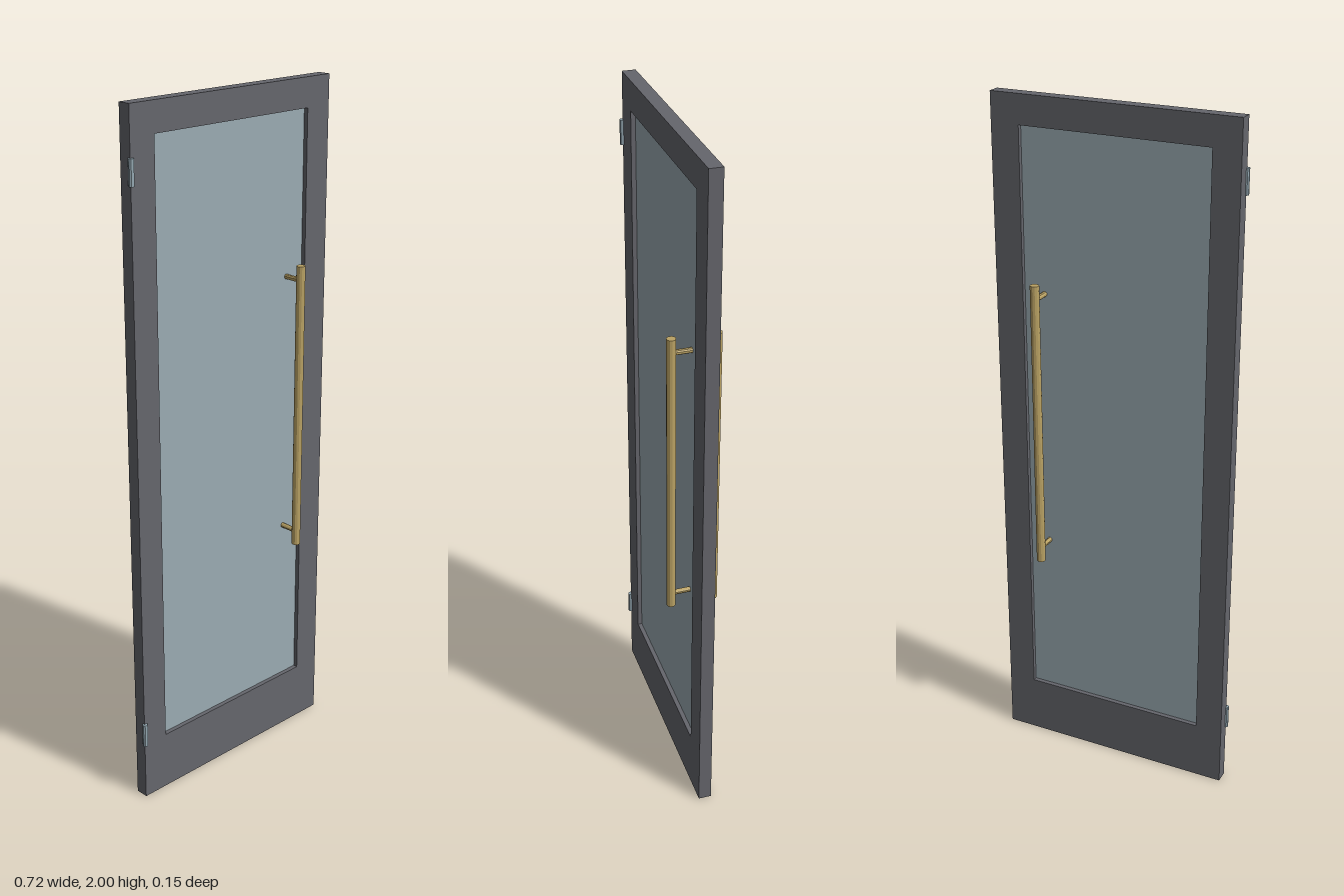
import * as THREE from 'three';

const material = (name, color, flatShading = false) => {
  const m = new THREE.MeshStandardMaterial({ color, flatShading });
  m.name = name;
  return m;
};

export function createModel() {
  const door = new THREE.Group();
  door.name = 'door';
  const frameGrey = material('frame grey', 0x65666c);
  const glassBlue = material('glass blue', 0x9babb2);
  const brass = material('brass', 0xbaa264, true);
  const steel = material('hinge steel', 0x97abb5, true);

  const add = (parent, name, geometry, mat, x, y, z) => {
    const mesh = new THREE.Mesh(geometry, mat);
    mesh.name = name;
    mesh.position.set(x, y, z);
    parent.add(mesh);
    return mesh;
  };

  // Frame: one slab with a rectangular opening, deeper at the bottom rail
  const left = -0.355, right = 0.36, depth = 0.038;
  const open = { x0: -0.275, x1: 0.277, y0: 0.175, y1: 1.917 };
  const outline = new THREE.Shape([
    new THREE.Vector2(left, 0), new THREE.Vector2(right, 0),
    new THREE.Vector2(right, 2), new THREE.Vector2(left, 2),
  ]);
  outline.holes.push(new THREE.Path([
    new THREE.Vector2(open.x0, open.y0), new THREE.Vector2(open.x0, open.y1),
    new THREE.Vector2(open.x1, open.y1), new THREE.Vector2(open.x1, open.y0),
  ]));
  const slab = new THREE.ExtrudeGeometry(outline, { depth, bevelEnabled: false });
  add(door, 'frame', slab, frameGrey, 0, 0, -depth / 2);

  // Glass pane set in the middle of the frame depth
  const pane = new THREE.BoxGeometry(open.x1 - open.x0, open.y1 - open.y0, 0.012);
  add(door, 'glassPane', pane, glassBlue, (open.x0 + open.x1) / 2, (open.y0 + open.y1) / 2, 0);

  // Pull handles on both faces, each with two standoff posts
  const handleX = 0.216, handleZ = 0.062;
  for (const side of [1, -1]) {
    const handle = new THREE.Group();
    handle.name = side > 0 ? 'frontHandle' : 'backHandle';
    add(handle, 'bar', new THREE.CylinderGeometry(0.013, 0.013, 0.853, 12), brass,
      handleX, 1.07, side * handleZ);
    for (const y of [0.685, 1.455]) {
      const post = add(handle, 'post', new THREE.CylinderGeometry(0.0075, 0.0075, handleZ, 10),
        brass, handleX, y, side * handleZ / 2);
      post.rotation.x = Math.PI / 2;
    }
    door.add(handle);
  }

  // Hinge barrels on the front right-hand edge
  for (const [name, y] of [['lowerHinge', 0.21], ['upperHinge', 1.832]]) {
    add(door, name, new THREE.CylinderGeometry(0.008, 0.008, 0.07, 10), steel, -0.354, y, 0.02);
  }
  return door;
}
